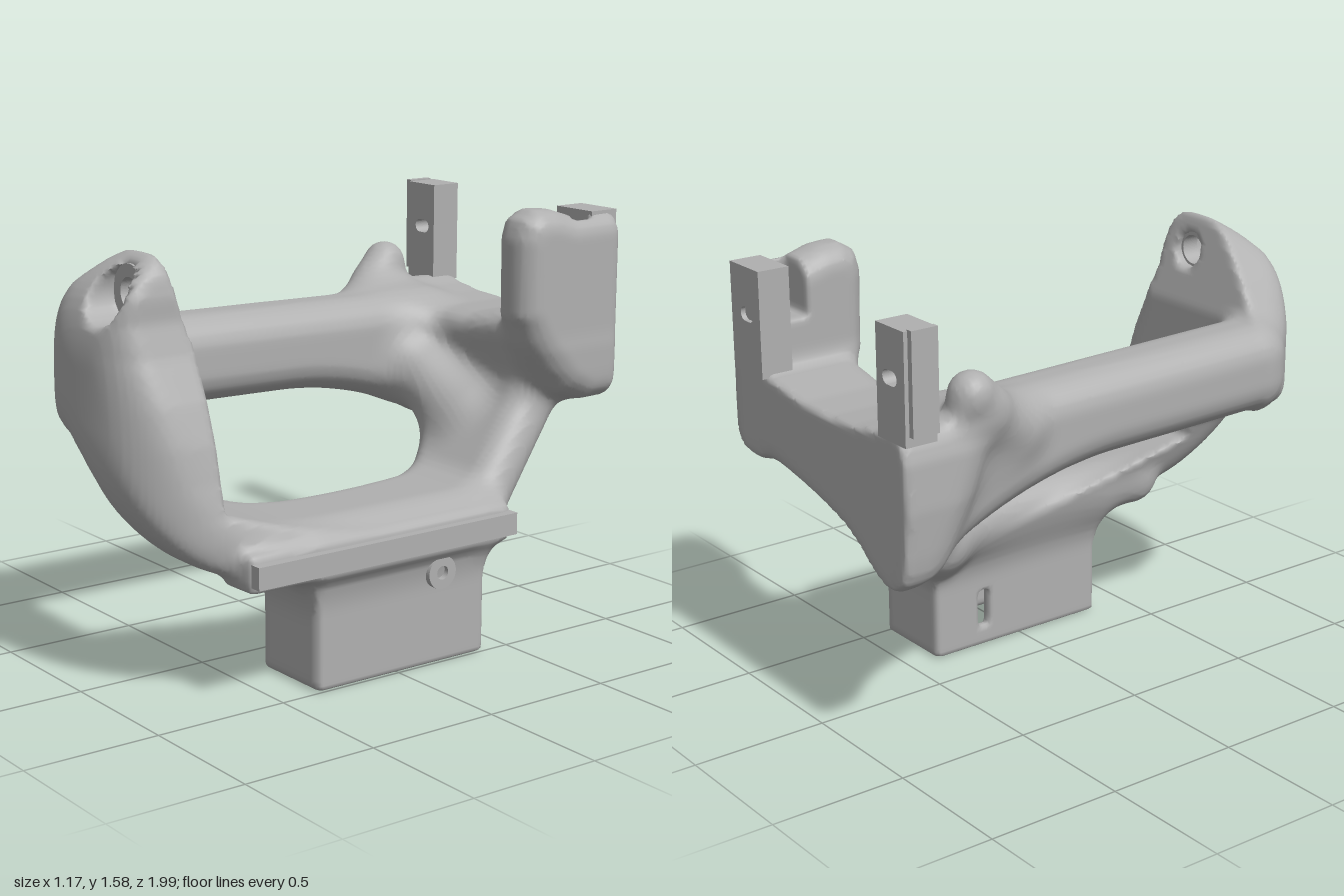
import * as THREE from 'three';

const { abs, max, min, hypot } = Math;

// Smooth union and smooth intersection of two distances
const smin = (a, b, k) => min(a, b) - max(k - abs(a - b), 0) ** 2 / (4 * k);
const smax = (a, b, k) => -smin(-a, -b, k);
const clamp01 = (t) => min(1, max(0, t));

// Rounded box from its limits
function roundBox(x, y, z, x0, x1, y0, y1, z0, z1, r) {
  const a = abs(x - (x0 + x1) / 2) - (x1 - x0) / 2 + r;
  const b = abs(y - (y0 + y1) / 2) - (y1 - y0) / 2 + r;
  const c = abs(z - (z0 + z1) / 2) - (z1 - z0) / 2 + r;
  return min(max(a, b, c), 0) + hypot(max(a, 0), max(b, 0), max(c, 0)) - r;
}

// Capsule between two points
function capsule(x, y, z, a, b, r) {
  const dx = b[0] - a[0], dy = b[1] - a[1], dz = b[2] - a[2];
  const px = x - a[0], py = y - a[1], pz = z - a[2];
  const t = clamp01((px * dx + py * dy + pz * dz) / (dx * dx + dy * dy + dz * dz));
  return hypot(px - dx * t, py - dy * t, pz - dz * t) - r;
}

// Signed distance to a closed outline
function outline(pts, u, v) {
  let d = Infinity, inside = false;
  for (let i = 0, j = pts.length - 1; i < pts.length; j = i++) {
    const [ax, ay] = pts[i], [bx, by] = pts[j];
    const ex = bx - ax, ey = by - ay, wx = u - ax, wy = v - ay;
    const t = clamp01((wx * ex + wy * ey) / (ex * ex + ey * ey));
    d = min(d, (wx - ex * t) ** 2 + (wy - ey * t) ** 2);
    if ((ay > v) !== (by > v) && u < ax + ((v - ay) / ey) * ex) inside = !inside;
  }
  return inside ? -Math.sqrt(d) : Math.sqrt(d);
}

// Outline thickened between two limits, with rounded edges
function slab(pts, u, v, w, w0, w1, r) {
  const a = outline(pts, u, v) + r;
  const b = abs(w - (w0 + w1) / 2) - (w1 - w0) / 2 + r;
  return min(max(a, b), 0) + hypot(max(a, 0), max(b, 0)) - r;
}

// Smooth curve through a few points, as an outline
const smooth = (pts, n) => new THREE.CatmullRomCurve3(
  pts.map(([x, y]) => new THREE.Vector3(x, y, 0)), true).getPoints(n).slice(0, n).map((p) => [p.x, p.y]);

const FRONT = smooth([[0.04, 1.55], [0.17, 1.55], [0.25, 1.44], [0.26, 1.28], [0.385, 0.98], [0.455, 0.72],
  [0.53, 0.54], [0.5, 0.41], [0.2, 0.39], [0.1, 0.52], [0, 0.74], [-0.13, 0.87], [-0.32, 0.88],
  [-0.43, 0.99], [-0.42, 1.1], [-0.3, 1.23], [-0.13, 1.42]], 36);
const REAR = smooth([[-0.53, 0.78], [-0.505, 0.68], [-0.43, 0.64], [-0.34, 0.67], [-0.2, 0.77], [0, 0.84],
  [0.25, 0.9], [0.45, 0.93], [0.49, 1.08], [0.38, 1.18], [0, 1.15], [-0.3, 1.17], [-0.48, 1.2], [-0.53, 1.12]], 30);
const ARM = [[-0.54, 1.48], [-0.56, 1.55], [-0.62, 1.585], [-0.7, 1.58], [-0.78, 1.555], [-1.08, 1.56],
  [-1.08, 0.87], [-0.86, 0.87], [-0.76, 0.92], [-0.6, 1.1], [-0.545, 1.2]];

// Front plate: rounded in plan and profile, flat behind, sweeping into the lower beam
function frontPlate(x, y, z) {
  const plan = (((abs(x - 0.04) / 0.5) ** 2.4 + (max(z - 0.3, 0) / 0.71) ** 2.4) ** (1 / 2.4) - 1) * 0.5;
  const rise = y < 0.95 ? (0.95 - y) / 0.545 : max(y - 1.15, 0) / 0.475;
  const profile = (hypot(rise, max(z - 0.45, 0) / 0.565) - 1) * 0.55;
  const round = 0.15 - 0.1 * clamp01((y - 1.2) / 0.2);
  const d = smax(smax(outline(FRONT, x, y), profile, round), plan, 0.06);
  const back = y < 0.68 ? (0.69 - (0.68 - y) * 3.5 - z) / 3.6 : 0.69 + max(0, y - 1.2) * 0.27 - z;
  return smax(d, back, 0.015);
}

// Flat web climbing from the lower beam to the rear, drifting sideways and widening
function web(x, y, z) {
  const t = clamp01(((z + 0.4) * -0.43 + (y - 0.465) * 0.475) / (0.43 ** 2 + 0.475 ** 2));
  const side = max(abs(x - 0.28 + 0.19 * t) - 0.115 - 0.075 * t, 0);
  return hypot(side, z + 0.4 + 0.43 * t, y - 0.465 - 0.475 * t) - 0.102;
}

// The whole blended frame as a distance function
function frame(x, y, z) {
  // Lower beam with a bowed inner edge, socket and rail ledge
  let d = roundBox(x, y, z, 0.13 - 0.3 * (z - 0.1) ** 2, 0.5, 0.415, 0.6, -0.42, 0.6, 0.09);
  d = smin(d, roundBox(x, y, z, 0.17, 0.503, -0.2, 0.5, -0.39, 0.355, 0.015), 0.16);
  d = smin(d, roundBox(x, y, z, 0.38, 0.55, 0.42, 0.55, -0.465, 0.66, 0.02), 0.05);
  d = smin(d, web(x, y, z), 0.09);
  // Rear cross member with its drooping lobe
  const slope = (z + 0.58 + (1.15 - y) * 0.42) / 1.08;
  d = smin(d, smax(slab(REAR, x, y, z, -1.1, -0.52, 0.06), slope, 0.14), 0.12);
  // Shoulder where the upper beam meets the web, and its raised corner
  d = smin(d, capsule(x, y, z, [0.08, 0.78, -0.63], [-0.28, 1.0, -0.57], 0.13), 0.1);
  d = smin(d, capsule(x, y, z, [-0.38, 1.08, -0.45], [-0.47, 1.272, -0.68], 0.078), 0.1);
  // Upper beam, deepening towards the rear
  d = smin(d, roundBox(x, y - 0.02 * z, z, -0.435, -0.14, 0.885 - 0.35 * max(0, -z) ** 2, 1.205, -0.8, 0.8, 0.12), 0.1);
  // Front plate and rear upright arm
  d = smin(d, frontPlate(x, y, z), 0.05);
  d = smin(d, slab(ARM, z, y, x, 0.33, 0.53, 0.085), 0.07);
  // Flat rear and foot
  d = max(smax(d, -0.982 - z, 0.02), -y);
  // Notch in the arm, socket cavity, pin slot and eyelet bore
  d = max(d, -roundBox(x, y, z, 0.2, 0.485, 1.36, 1.8, -0.88, -0.79, 0.01));
  d = max(d, -roundBox(x, y, z, 0.22, 0.455, -0.2, 0.4, -0.34, 0.305, 0.005));
  d = max(d, -roundBox(x, y, z, 0.1, 0.3, 0.08, 0.22, -0.2, -0.15, 0.005));
  const bore = hypot(x - 0.11, y - 1.39);
  return max(d, 0.065 - bore, min(0.1 - bore, z - 0.83));
}

// Turn a distance function into a smooth skin, one vertex per crossed cell
function skin(f, lo, hi, step) {
  const n = lo.map((v, i) => Math.ceil((hi[i] - v) / step) + 1);
  const stride = [1, n[0], n[0] * n[1]];
  const value = new Float32Array(n[0] * n[1] * n[2]);
  const each = (start, fn) => {
    for (let k = start; k < n[2] - 1; k++) for (let j = start; j < n[1] - 1; j++)
      for (let i = start; i < n[0] - 1; i++) fn([i, j, k], i + j * stride[1] + k * stride[2]);
  };
  for (let k = 0, q = 0; k < n[2]; k++) for (let j = 0; j < n[1]; j++) for (let i = 0; i < n[0]; i++)
    value[q++] = f(lo[0] + i * step, lo[1] + j * step, lo[2] + k * step);

  const id = new Int32Array(value.length).fill(-1), pos = [], index = [];
  each(0, (c, q) => {
    const sum = [0, 0, 0];
    let count = 0;
    for (let a = 0; a < 3; a++) for (let m = 0; m < 4; m++) {
      const b = (a + 1) % 3, e = (a + 2) % 3, ob = m & 1, oe = m >> 1;
      const p = q + ob * stride[b] + oe * stride[e];
      const v0 = value[p], v1 = value[p + stride[a]];
      if ((v0 < 0) === (v1 < 0)) continue;
      sum[a] += v0 / (v0 - v1); sum[b] += ob; sum[e] += oe;
      count++;
    }
    if (!count) return;
    id[q] = pos.length / 3;
    for (let a = 0; a < 3; a++) pos.push(lo[a] + (c[a] + sum[a] / count) * step);
  });
  each(1, (c, q) => {
    for (let a = 0; a < 3; a++) {
      const inside = value[q] < 0;
      if (inside === (value[q + stride[a]] < 0)) continue;
      const sb = stride[(a + 1) % 3], se = stride[(a + 2) % 3];
      const [A, B, C, D] = [id[q - sb - se], id[q - se], id[q], id[q - sb]];
      if (inside) index.push(A, B, C, A, C, D);
      else index.push(A, C, B, A, D, C);
    }
  });
  const g = new THREE.BufferGeometry();
  g.setAttribute('position', new THREE.Float32BufferAttribute(pos, 3));
  g.setIndex(index);
  g.computeVertexNormals();
  return g;
}

// Flat ring with a bore, facing +z
function ring(outer, inner, depth) {
  const s = new THREE.Shape().absarc(0, 0, outer, 0, Math.PI * 2);
  s.holes.push(new THREE.Path().absarc(0, 0, inner, 0, Math.PI * 2, true));
  return new THREE.ExtrudeGeometry(s, { depth, bevelEnabled: false, curveSegments: 32 });
}

export function createModel() {
  const group = new THREE.Group();
  const grey = new THREE.MeshStandardMaterial({ color: 0xb0b0b0 });
  grey.name = 'plain grey';
  const add = (name, geometry) => {
    const mesh = new THREE.Mesh(geometry, grey);
    mesh.name = name;
    group.add(mesh);
  };

  add('frame', skin(frame, [-0.62, -0.035, -1.03], [0.62, 1.64, 1.04], 0.0165));

  // Side rail and pin collar
  add('sideRail', new THREE.BoxGeometry(0.06, 0.08, 1.12).translate(0.555, 0.488, 0.095));
  add('pinCollar', ring(0.06, 0.025, 0.04).rotateY(Math.PI / 2).translate(0.49, 0.345, -0.17));

  // Eyelet in the front plate
  add('eyelet', ring(0.1, 0.055, 0.07).translate(0.11, 1.39, 0.77));

  // Slotted rear brackets
  for (const [name, x0, x1, cx] of [['rightBracket', -0.565, -0.41, -0.483], ['leftBracket', 0.3, 0.485, 0.385]]) {
    const s = new THREE.Shape([[x0, 1.18], [x1, 1.18], [x1, 1.56], [x0, 1.56]].map((p) => new THREE.Vector2(...p)));
    const slot = new THREE.Path();
    slot.absarc(cx + 0.015, 1.392, 0.025, Math.PI / 2, -Math.PI / 2, true);
    slot.absarc(cx - 0.015, 1.392, 0.025, -Math.PI / 2, Math.PI / 2, true);
    s.holes.push(slot);
    add(name, new THREE.ExtrudeGeometry(s, { depth: 0.12, bevelEnabled: false }).translate(0, 0, -1));
  }
  add('bracketStrip', new THREE.BoxGeometry(0.025, 0.35, 0.1).translate(-0.574, 1.39, -0.935));

  return group;
}
